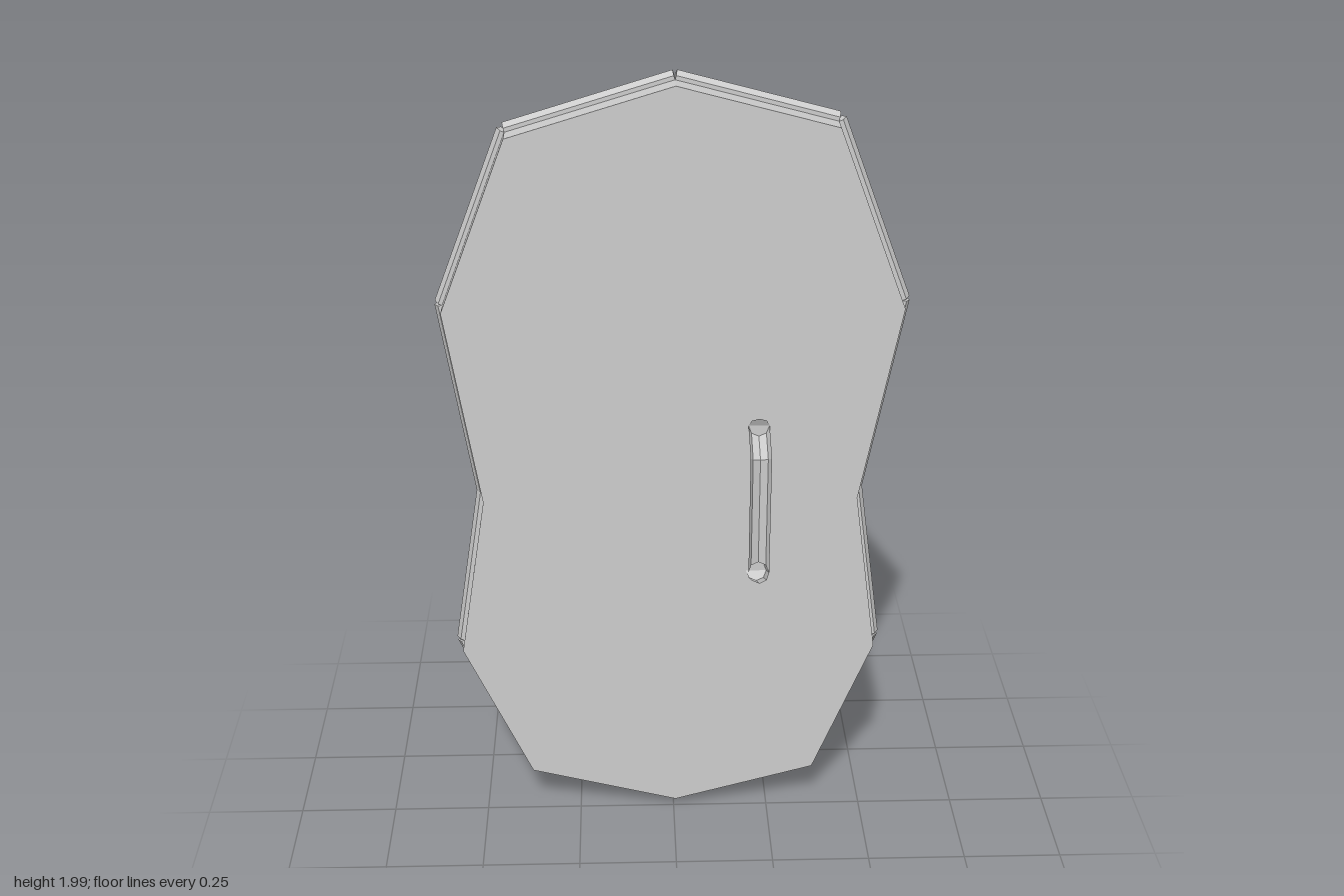
import * as THREE from 'three';

const material = new THREE.MeshStandardMaterial({ color: 0xcccccc, flatShading: true });

// Outline of the panel, counter-clockwise from the top
const OUTLINE = [
  [0.005, 1.98], [-0.39, 1.86], [-0.555, 1.435], [-0.475, 0.93], [-0.545, 0.5], [-0.375, 0.125],
  [0.005, 0.025], [0.37, 0.125], [0.52, 0.5], [0.46, 0.93], [0.555, 1.435], [0.385, 1.88],
].map(([x, y]) => new THREE.Vector2(x, y));
const BACK = -0.073;

function addMesh(parent, name, geometry) {
  const mesh = new THREE.Mesh(geometry, material);
  mesh.name = name;
  parent.add(mesh);
  return mesh;
}

// Faceted bar swept along a path of [y, z] points in the yz plane, mitred at its bends
function mitredBar(path, radius, sides) {
  const points = path.map(([y, z]) => new THREE.Vector2(y, z));
  const positions = [];
  const index = [];
  points.forEach((p, i) => {
    const before = points[Math.max(i - 1, 0)];
    const after = points[Math.min(i + 1, points.length - 1)];
    const tIn = (i ? p.clone().sub(before) : after.clone().sub(p)).normalize();
    const tOut = (after !== p ? after.clone().sub(p) : tIn.clone()).normalize();
    const t = tIn.clone().add(tOut).normalize();
    const stretch = radius / t.dot(tIn);
    for (let s = 0; s < sides; s++) {
      const a = (s / sides) * Math.PI * 2;
      const n = Math.sin(a) * stretch;
      positions.push(Math.cos(a) * radius, p.x - t.y * n, p.y + t.x * n);
    }
  });
  for (let i = 0; i < points.length - 1; i++) {
    for (let s = 0; s < sides; s++) {
      const a = i * sides + s;
      const b = i * sides + ((s + 1) % sides);
      index.push(a, b, a + sides, b, b + sides, a + sides);
    }
  }
  // End caps
  const last = (points.length - 1) * sides;
  for (let s = 1; s < sides - 1; s++) {
    index.push(0, s + 1, s, last, last + s, last + s + 1);
  }
  const geometry = new THREE.BufferGeometry();
  geometry.setAttribute('position', new THREE.Float32BufferAttribute(positions, 3));
  geometry.setIndex(index);
  geometry.computeVertexNormals();
  return geometry;
}

export function createModel() {
  const model = new THREE.Group();
  model.name = 'shieldPanel';

  // Flat panel with its front face at z = 0
  const panel = new THREE.ExtrudeGeometry(new THREE.Shape(OUTLINE), { depth: -BACK, bevelEnabled: false });
  addMesh(model, 'panel', panel.translate(0, 0, BACK));

  // Rim: one hexagonal rod per edge, centred on the back edge
  const rim = new THREE.Group();
  rim.name = 'rim';
  model.add(rim);
  OUTLINE.forEach((a, i) => {
    const b = OUTLINE[(i + 1) % OUTLINE.length];
    const rod = new THREE.CylinderGeometry(0.02, 0.02, a.distanceTo(b), 6).rotateY(Math.PI / 6);
    const mesh = addMesh(rim, 'rimRod', rod);
    mesh.position.set((a.x + b.x) / 2, (a.y + b.y) / 2, BACK);
    mesh.rotation.z = Math.atan2(b.y - a.y, b.x - a.x) - Math.PI / 2;
  });

  // Upright rib half sunk into the back
  const rib = addMesh(model, 'backRib', new THREE.CylinderGeometry(0.035, 0.035, 1.6, 8));
  rib.position.set(0.005, 1, -0.085);

  // Bent grab handle on the front
  const path = [[1.133, 0], [1.088, 0.094], [0.772, 0.094], [0.727, 0]];
  const handle = addMesh(model, 'handle', mitredBar(path, 0.026, 8));
  handle.position.x = 0.21;

  return model;
}
